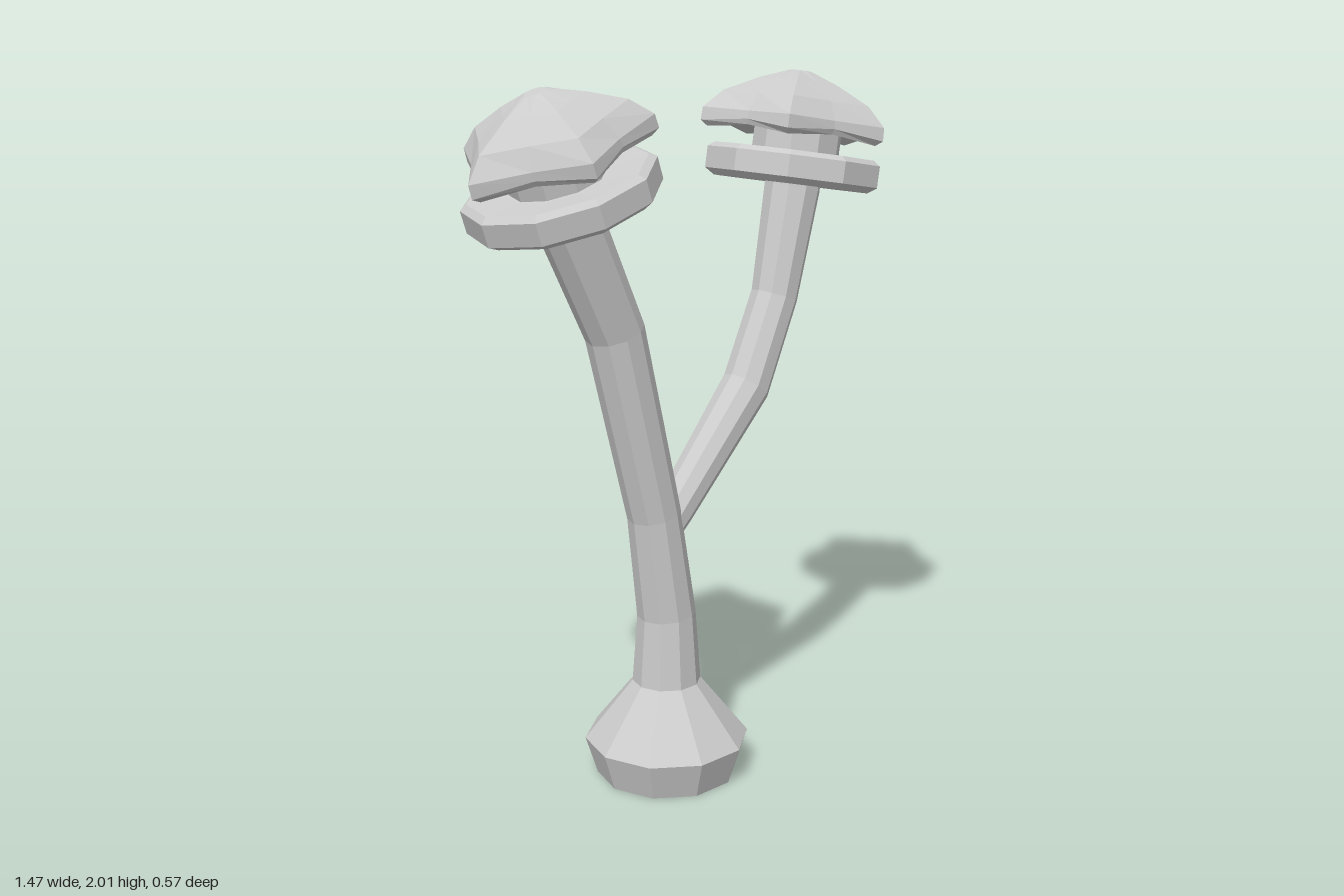
import * as THREE from 'three';

const SIDES = 10;
const material = new THREE.MeshStandardMaterial({ color: 0xcccccc, flatShading: true });

function mesh(name, geometry) {
  const m = new THREE.Mesh(geometry, material);
  m.name = name;
  return m;
}

// Ten-sided turned form with a corner on the +x axis; profile runs bottom to top
function turned(profile) {
  const points = profile.map(([r, y]) => new THREE.Vector2(r, y));
  return new THREE.LatheGeometry(points, SIDES).rotateY(Math.PI / 2);
}

// Faceted stalk through rings [x, y, z, radius], bottom to top, bending in the x-y plane
function stalk(name, rings) {
  const n = rings.length;
  const geo = new THREE.CylinderGeometry(1, 1, 1, SIDES, n - 1, true).rotateY(Math.PI / 2);
  const pos = geo.attributes.position;
  for (let i = 0; i < pos.count; i++) {
    const k = n - 1 - Math.floor(i / (SIDES + 1));
    const [x, y, z, r] = rings[k];
    const a = rings[Math.max(k - 1, 0)], b = rings[Math.min(k + 1, n - 1)];
    const t = new THREE.Vector2(b[0] - a[0], b[1] - a[1]).normalize();
    const u = pos.getX(i) * r, w = pos.getZ(i) * r;
    pos.setXYZ(i, x + t.y * u, y - t.x * u, z + w);
  }
  geo.computeVertexNormals();
  return mesh(name, geo);
}

// Five-pointed cap: every second column of the turned form is pulled in
function starCap() {
  const profile = [[0, 0.11], [0.14, 0.105], [0.255, 0.085], [0.277, 0.1], [0.275, 0.138],
    [0.22, 0.193], [0.12, 0.242], [0.032, 0.275], [0, 0.275]];
  const valley = [1, 1, 0.8, 0.76, 0.76, 0.79, 0.8, 1, 1];
  const geo = turned(profile);
  const pos = geo.attributes.position;
  for (let i = 0; i < pos.count; i++) {
    const column = Math.floor(i / profile.length), j = i % profile.length;
    if (column % 2 === 0) continue;
    pos.setX(i, pos.getX(i) * valley[j]);
    pos.setZ(i, pos.getZ(i) * valley[j]);
    if (j === 2 || j === 3) pos.setY(i, pos.getY(i) + 0.015);
  }
  geo.computeVertexNormals();
  return mesh('starCap', geo);
}

// Flared head: collar ring, short neck and star cap
function head(name, [x, y, z], tilt, spin, capShift) {
  const group = new THREE.Group();
  group.name = name;
  group.position.set(x, y, z);
  group.rotation.z = tilt;

  const collar = mesh('collar', turned([[0, -0.02], [0.1, -0.022], [0.235, -0.05], [0.263, -0.032],
    [0.263, 0.03], [0.243, 0.044], [0.14, 0.035], [0, 0.035]]));
  const neck = mesh('neck', turned([[0.13, 0.03], [0.13, 0.112]]));
  const cap = starCap();
  cap.position.x = capShift;
  collar.rotation.y = cap.rotation.y = spin;
  group.add(collar, neck, cap);
  return group;
}

export function createModel() {
  const model = new THREE.Group();
  model.name = 'branchingStalk';

  // Bulbous foot
  const foot = mesh('foot', turned([[0, 0], [0.205, 0], [0.24, 0.11], [0.1, 0.285], [0, 0.285]]));
  foot.position.set(-0.083, 0, 0.02);
  model.add(foot);

  // Main stalk and the side branch growing from it
  model.add(stalk('mainStalk', [
    [-0.083, 0.28, 0.02, 0.1], [-0.083, 0.49, 0.02, 0.085], [-0.13, 0.8, 0.02, 0.077],
    [-0.265, 1.34, 0.015, 0.083], [-0.42, 1.66, 0.015, 0.09], [-0.455, 1.76, 0.015, 0.09],
  ]));
  model.add(stalk('sideBranch', [
    [-0.11, 0.73, 0.015, 0.055], [-0.05, 0.79, 0.015, 0.058], [0.245, 1.11, 0.01, 0.072],
    [0.37, 1.36, 0, 0.07], [0.452, 1.67, -0.012, 0.083], [0.467, 1.76, -0.015, 0.083],
  ]));

  // Heads
  model.add(head('rightHead', [-0.444, 1.728, 0.02], 0.323, Math.PI, 0.01));
  model.add(head('leftHead', [0.461, 1.728, -0.017], -0.168, 0.07, -0.022));
  return model;
}
